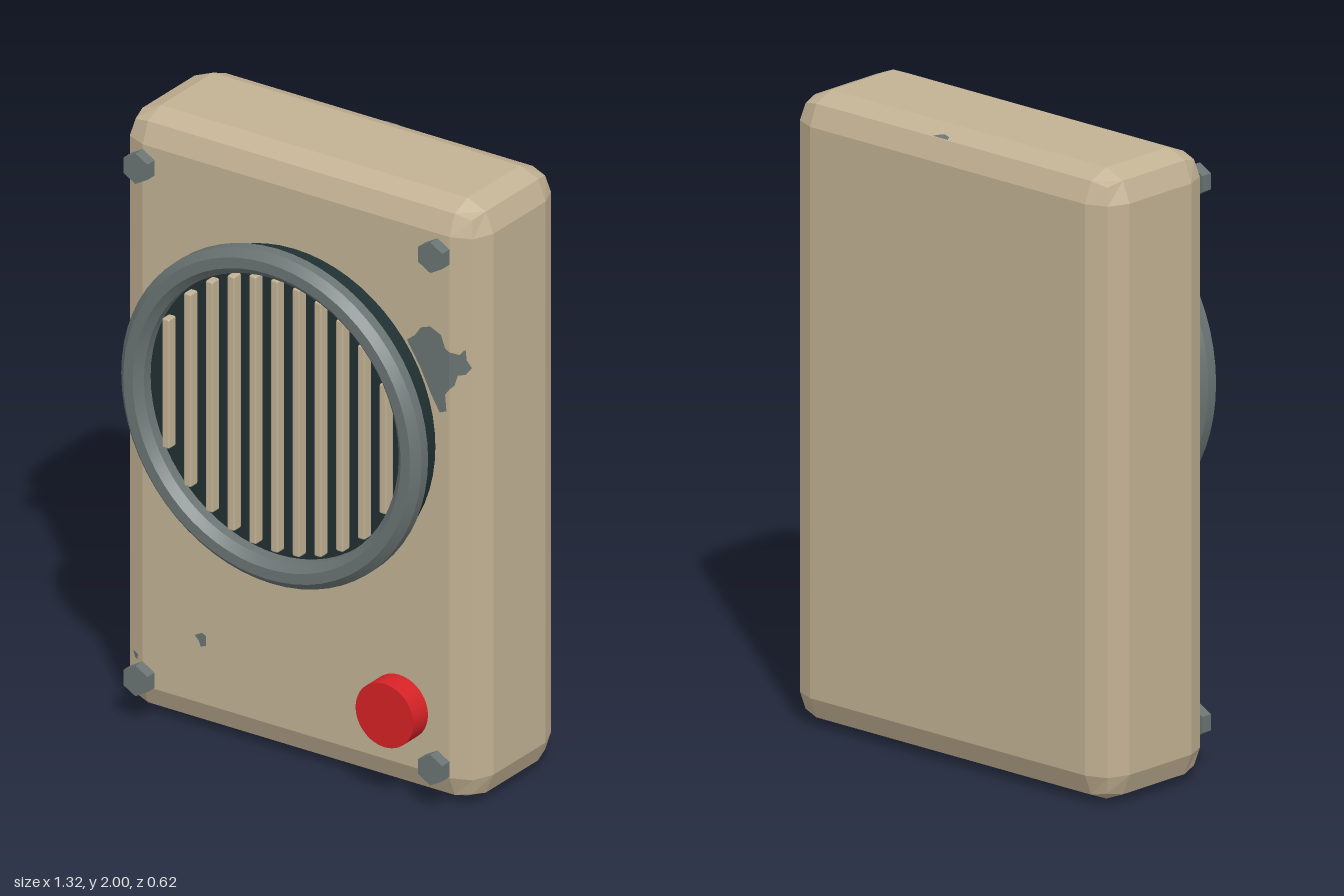
import * as THREE from 'three';
import { toCreasedNormals } from 'three/addons/utils/BufferGeometryUtils.js';
import { RoundedBoxGeometry } from 'three/addons/geometries/RoundedBoxGeometry.js';

const mat = (name, color) => Object.assign(new THREE.MeshStandardMaterial({ color }), { name });

const W = 1.32, H = 2, D = 0.465, BEVEL = 0.095, FRONT = 0.155;
const SPEAKER_Y = 1.195;

export function createModel() {
  const group = new THREE.Group();
  const beige = mat('beige paint', 0xc3b294);
  const steel = mat('grey steel', 0x6a7473);
  const dark = mat('dark backing', 0x203032);
  const red = mat('red button', 0xd62226);

  const add = (name, geometry, material, x = 0, y = 0, z = 0) => {
    const mesh = new THREE.Mesh(geometry, material);
    mesh.name = name;
    mesh.position.set(x, y, z);
    group.add(mesh);
    return mesh;
  };
  // Disc or prism whose axis points forward
  const disc = (r, depth, sides, crease = 0.6) =>
    toCreasedNormals(new THREE.CylinderGeometry(r, r, depth, sides).rotateX(Math.PI / 2), crease);

  // Case with two-step chamfered edges, flat shaded
  const box = new RoundedBoxGeometry(W, H, D, 1, BEVEL);
  const caseGeo = box.index ? box.toNonIndexed() : box;
  caseGeo.clearGroups();
  caseGeo.computeVertexNormals();
  add('case', caseGeo, beige, 0, H / 2, FRONT - D / 2);

  // Speaker backing
  add('speakerBacking', disc(0.52, 0.07, 64), dark, 0, SPEAKER_Y, 0.2);

  // Speaker rim: an octagonal section turned around the forward axis
  const section = [];
  for (let i = 0; i <= 8; i++) {
    const a = (i + 0.5) * Math.PI / 4;
    section.push(new THREE.Vector2(0.511 + 0.0455 * Math.cos(a), 0.0455 * Math.sin(a)));
  }
  const rim = new THREE.LatheGeometry(section, 64).rotateX(Math.PI / 2);
  add('speakerRim', toCreasedNormals(rim, 0.5), steel, 0, SPEAKER_Y, 0.268);

  // Grille slats, cut to fit the round opening
  for (let i = -5; i <= 5; i++) {
    const x = i * 0.08;
    const length = 2 * Math.sqrt(0.455 ** 2 - x * x);
    const slat = new RoundedBoxGeometry(0.027, length, 0.04, 1, 0.006);
    add('grilleSlat', slat, beige, x, SPEAKER_Y, 0.252);
  }

  // Hexagonal corner bolts
  for (const x of [-0.543, 0.543]) {
    for (const y of [0.143, 1.857]) add('bolt', disc(0.051, 0.038, 6), steel, x, y, 0.206);
  }

  // Push button
  add('pushButton', disc(0.106, 0.078, 48), red, 0.402, 0.303, 0.226);

  // Worn paint: thin patches that follow the front face and its first chamfer
  const fold = W / 2 - BEVEL;
  const slope = Math.tan(Math.PI / 8);
  const frontPatch = (name, points) => {
    const geo = new THREE.ShapeGeometry(new THREE.Shape(points.map(p => new THREE.Vector2(...p))));
    const pos = geo.attributes.position;
    for (let i = 0; i < pos.count; i++) {
      pos.setZ(i, FRONT + 0.002 - Math.max(0, Math.abs(pos.getX(i)) - fold) * slope);
    }
    geo.computeVertexNormals();
    add(name, geo, steel);
  };
  frontPatch('wornPaintFront', [
    [0.41, 1.52], [0.44, 1.545], [0.46, 1.575], [0.495, 1.588], [0.535, 1.57], [0.55, 1.53],
    [fold, 1.52], [fold, 1.395], [0.55, 1.375], [0.555, 1.32], [0.53, 1.31], [0.50, 1.36], [0.46, 1.44],
  ]);
  frontPatch('wornPaintEdge', [
    [fold, 1.395], [fold, 1.52], [0.595, 1.515], [0.612, 1.535], [0.615, 1.50],
    [0.63, 1.475], [0.612, 1.45], [0.59, 1.445], [0.58, 1.41],
  ]);
  frontPatch('wornSpotLow', [
    [-0.372, 0.318], [-0.345, 0.332], [-0.33, 0.325], [-0.33, 0.292], [-0.35, 0.285], [-0.357, 0.302],
  ]);
  frontPatch('wornSpotCorner', [[-0.612, 0.195], [-0.588, 0.19], [-0.59, 0.172], [-0.602, 0.175]]);

  // Worn spot on the rear top chamfer
  const chip = new THREE.ShapeGeometry(new THREE.Shape(
    [[0.025, 0.282], [0.03, 0.27], [0.055, 0.264], [0.075, 0.274], [0.088, 0.282]]
      .map(p => new THREE.Vector2(...p)))).rotateX(-Math.PI / 2);
  const pos = chip.attributes.position;
  for (let i = 0; i < pos.count; i++) {
    pos.setY(i, H + 0.002 - (-pos.getZ(i) - (D - FRONT - BEVEL)) * slope);
  }
  chip.computeVertexNormals();
  add('wornSpotTop', chip, steel);

  return group;
}
